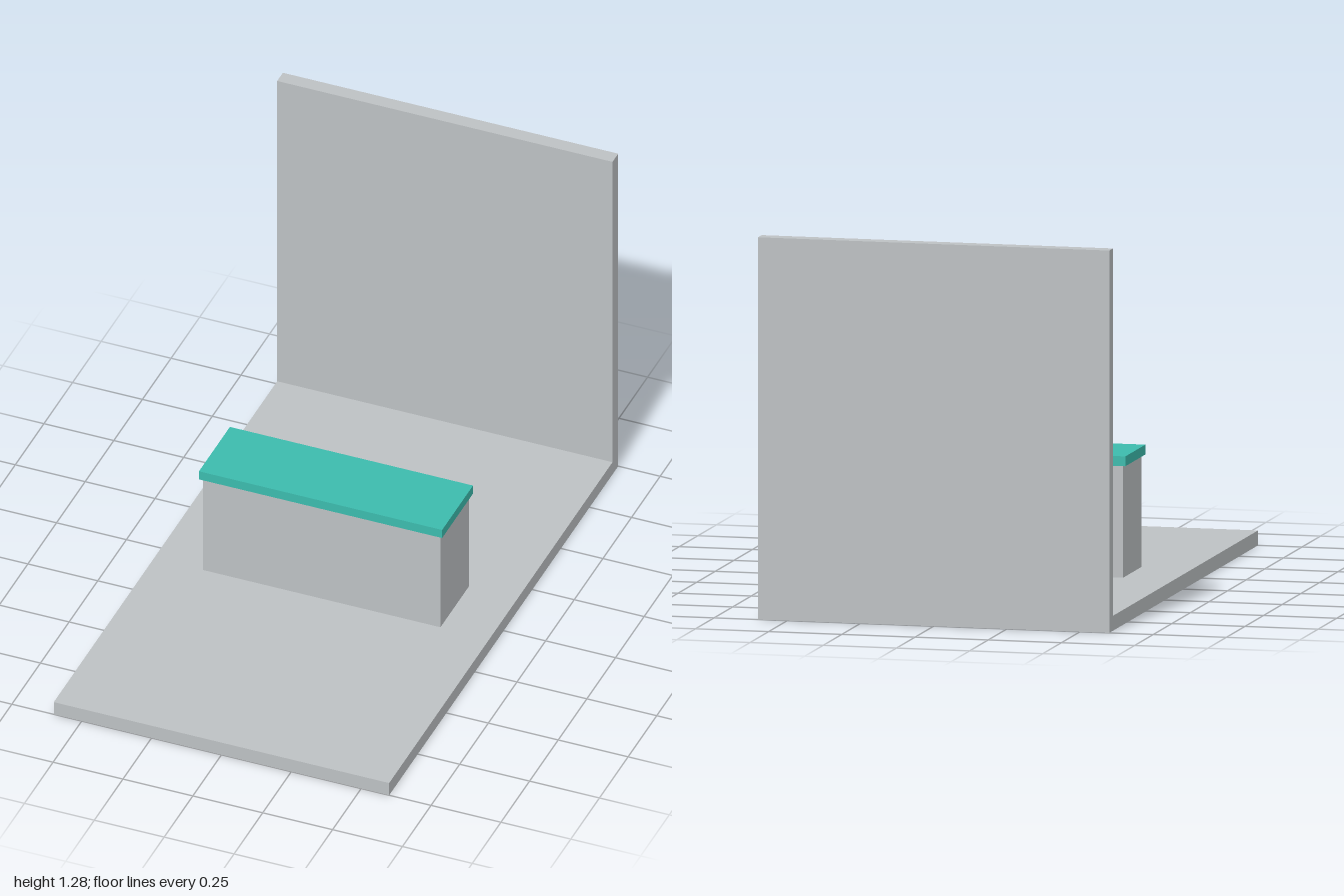
import * as THREE from 'three';

export function createModel() {
  const group = new THREE.Group();
  const grey = new THREE.MeshStandardMaterial({ color: 0xbdc1c3 });
  grey.name = 'pale grey';
  const teal = new THREE.MeshStandardMaterial({ color: 0x3cbbad });
  teal.name = 'teal';

  // Adds a box with its underside at height y
  function addBox(name, material, [w, h, d], y, z = 0) {
    const mesh = new THREE.Mesh(new THREE.BoxGeometry(w, h, d), material);
    mesh.name = name;
    mesh.position.set(0, y + h / 2, z);
    group.add(mesh);
  }

  // Booth floor and rear wall
  addBox('floor', grey, [1.2, 0.05, 2], 0);
  addBox('backWall', grey, [1.2, 1.23, 0.05], 0.05, -0.975);

  // Counter with an overhanging top
  addBox('counterBody', grey, [0.85, 0.375, 0.25], 0.05);
  addBox('counterTop', teal, [0.87, 0.033, 0.27], 0.425);

  return group;
}
